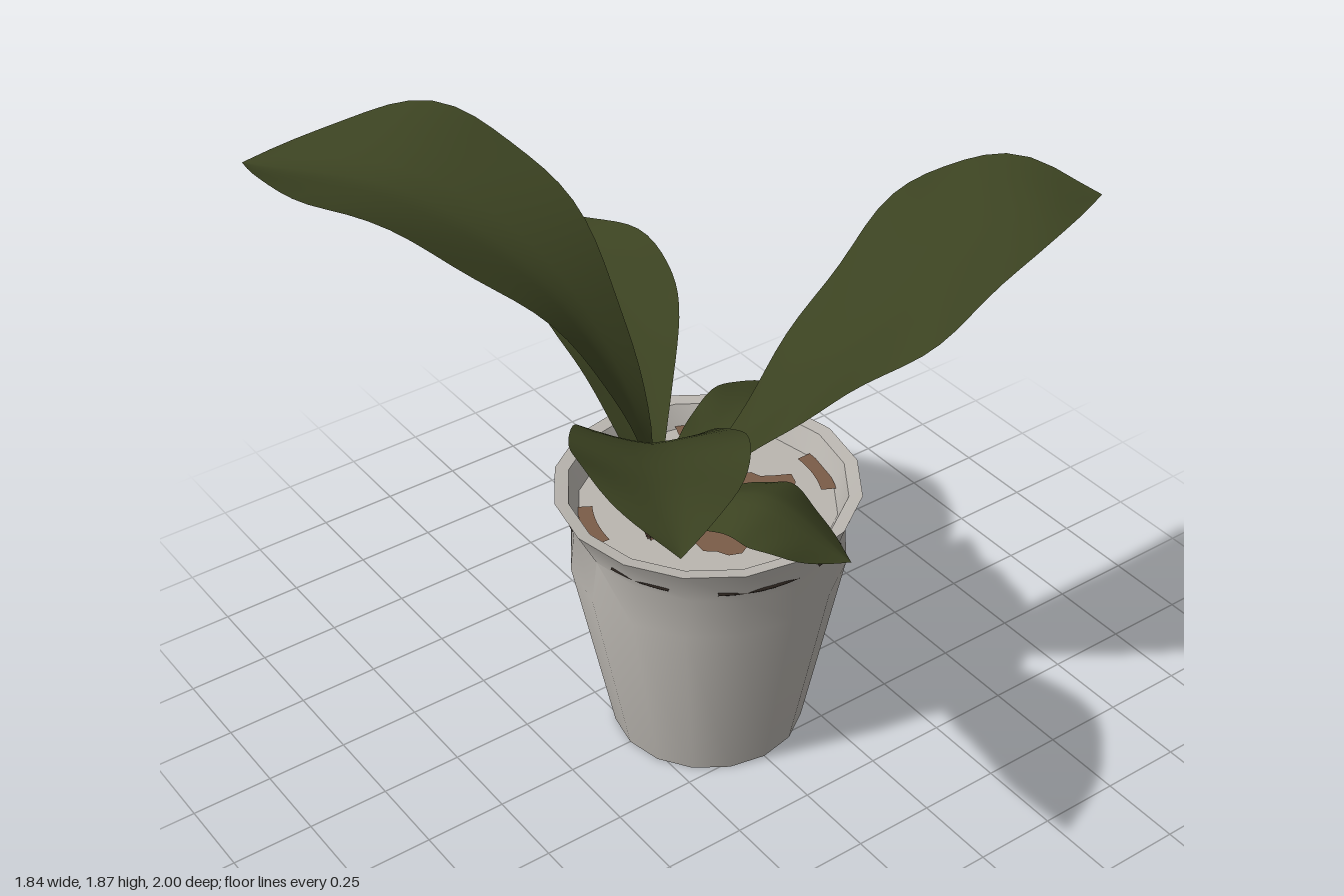
import * as THREE from 'three';
import { toCreasedNormals } from 'three/addons/utils/BufferGeometryUtils.js';

function material(name, color, side = THREE.FrontSide) {
  const m = new THREE.MeshStandardMaterial({ color, side });
  m.name = name;
  return m;
}

// Leaf surface along a midrib, between s0 and s1 of its length: narrow stalk, broad blade, pointed tip.
// A higher neck value keeps the blade slim for longer.
function leafGeometry(midrib, { halfWidth, fold, neck, tilt }, s0, s1, rows) {
  const chord = midrib.getPoint(1).sub(midrib.getPoint(0)).setY(0).normalize();
  const across = new THREE.Vector3(-chord.z, tilt, chord.x).normalize();
  const cols = 8, positions = [], index = [];
  for (let i = 0; i <= rows; i++) {
    const s = s0 + (s1 - s0) * i / rows;
    const centre = midrib.getPointAt(s);
    const up = across.clone().cross(midrib.getTangentAt(s)).normalize();
    const w = halfWidth * Math.sin(Math.PI * s ** neck) + 0.012 * (1 - s);
    for (let j = 0; j <= cols; j++) {
      const u = j / cols * 2 - 1;
      const ripple = 0.04 * u * u * Math.sin(s * 24 + u * 2);
      const lift = w * (fold * Math.abs(u) ** 1.3 + ripple);
      const p = centre.clone().addScaledVector(across, w * u).addScaledVector(up, lift);
      positions.push(p.x, p.y, p.z);
      if (i < rows && j < cols) {
        const a = i * (cols + 1) + j, b = a + cols + 1;
        index.push(a, a + 1, b, a + 1, b + 1, b);
      }
    }
  }
  const g = new THREE.BufferGeometry();
  g.setAttribute('position', new THREE.Float32BufferAttribute(positions, 3));
  g.setIndex(index);
  g.computeVertexNormals();
  return g;
}

// Midrib points after the shared root; the last one is the tip
const ROOT = [-0.23, 0.78, 0.04];
const LEAVES = [
  { name: 'tallBackLeaf', halfWidth: 0.31, fold: 0.3, neck: 2, tilt: 0, stalk: 0.1,
    path: [[-0.24, 1.15, 0], [-0.37, 1.55, -0.22], [-0.6, 1.76, -0.56], [-0.87, 1.74, -1]] },
  { name: 'frontRightLeaf', halfWidth: 0.22, fold: 0.22, neck: 1.7, tilt: 0.05, stalk: 0.15,
    path: [[-0.32, 1.03, 0.1], [-0.46, 1.41, 0.38], [-0.63, 1.54, 0.68], [-0.81, 1.59, 1]] },
  { name: 'frontLeftLeaf', halfWidth: 0.3, fold: 0.12, neck: 2, tilt: -0.08, stalk: 0.05,
    path: [[-0.12, 1.05, 0.18], [0.19, 1.5, 0.4], [0.68, 1.77, 0.49], [0.91, 1.76, 0.56]] },
  { name: 'backLeaf', halfWidth: 0.21, fold: 0.35, neck: 1.7, tilt: 0, stalk: 0.1,
    path: [[-0.19, 1, -0.04], [-0.07, 1.26, -0.4], [-0.01, 1.34, -0.89]] },
  { name: 'smallLeftLeaf', halfWidth: 0.1, fold: 0.2, neck: 1.7, tilt: 0, stalk: 0.1,
    path: [[-0.13, 0.92, 0.01], [0.2, 0.98, -0.1], [0.43, 0.92, -0.19]] },
  { name: 'smallFrontLeaf', halfWidth: 0.15, fold: -0.35, neck: 1.6, tilt: 0, stalk: 0.05,
    path: [[-0.18, 0.95, 0.16], [-0.06, 1.04, 0.35], [0.08, 0.88, 0.56]] },
];

export function createModel() {
  const root = new THREE.Group();
  root.name = 'pottedPlant';
  const ceramic = material('pale ceramic', 0xbab6b0);
  const leafGreen = material('leaf green', 0x3b4221, THREE.DoubleSide);
  const stemBrown = material('stem brown', 0x6b5142, THREE.DoubleSide);
  const soilBrown = material('soil brown', 0x7b5c48, THREE.DoubleSide);
  const gapBrown = material('dark gap', 0x2e2620);

  const add = (parent, name, geometry, mat) => {
    const mesh = new THREE.Mesh(geometry, mat);
    mesh.name = name;
    parent.add(mesh);
  };

  // Pot: tapered body, flared rim and inside floor in one turned profile
  const neckHeight = 0.74;
  const profile = [[0, 0.015], [0.22, 0.015], [0.235, 0], [0.29, 0], [0.41, 0.61], [0.42, neckHeight],
    [0.45, 0.855], [0.41, 0.85], [0.38, 0.78], [0, 0.78]].map(p => new THREE.Vector2(...p));
  const pot = new THREE.LatheGeometry(profile, 16);
  // pinch the neck at the two sides
  const pos = pot.attributes.position;
  for (let i = 0; i < pos.count; i++) {
    if (Math.abs(pos.getY(i) - neckHeight) < 0.001) pos.setX(i, pos.getX(i) * 0.93);
  }
  add(root, 'pot', toCreasedNormals(pot, 0.7), ceramic);

  // Ragged soil patch in the middle of the pot
  const outline = Array.from({ length: 36 }, (_, i) => {
    const a = i / 36 * Math.PI * 2;
    const r = 0.19 + 0.025 * Math.sin(a * 5 + 1) + 0.015 * Math.sin(a * 11);
    return new THREE.Vector2(0.04 + r * 1.05 * Math.cos(a), -0.08 + r * Math.sin(a));
  });
  const patch = new THREE.ShapeGeometry(new THREE.Shape(outline));
  add(root, 'soilPatch', patch.rotateX(-Math.PI / 2).translate(0, 0.787, 0), soilBrown);

  // Soil crumbs left along the inside wall
  for (const start of [0.7, 2.6, 3.6, 5.8]) {
    const g = new THREE.RingGeometry(0.335, 0.38, 10, 1, start, 0.5);
    add(root, 'soilEdge', g.rotateX(-Math.PI / 2).translate(0, 0.789, 0), soilBrown);
  }

  // Narrow dark gaps under the rim, following the pinched neck
  for (let i = 0; i < 8; i++) {
    const g = new THREE.TorusGeometry(0.424, 0.006, 4, 6, 0.3 + 0.15 * (i % 3));
    g.rotateX(-Math.PI / 2).rotateY(i * Math.PI / 4 + 0.2).scale(0.95, 1, 1).translate(0, 0.775, 0);
    add(root, 'rimGap', g, gapBrown);
  }

  // Leaves, each a brown stalk running into a green blade
  for (const spec of LEAVES) {
    const midrib = new THREE.CatmullRomCurve3([ROOT, ...spec.path].map(p => new THREE.Vector3(...p)));
    const leaf = new THREE.Group();
    leaf.name = spec.name;
    add(leaf, 'stalk', leafGeometry(midrib, spec, 0, spec.stalk, 5), stemBrown);
    add(leaf, 'blade', leafGeometry(midrib, spec, spec.stalk, 1, 30), leafGreen);
    root.add(leaf);
  }
  return root;
}
